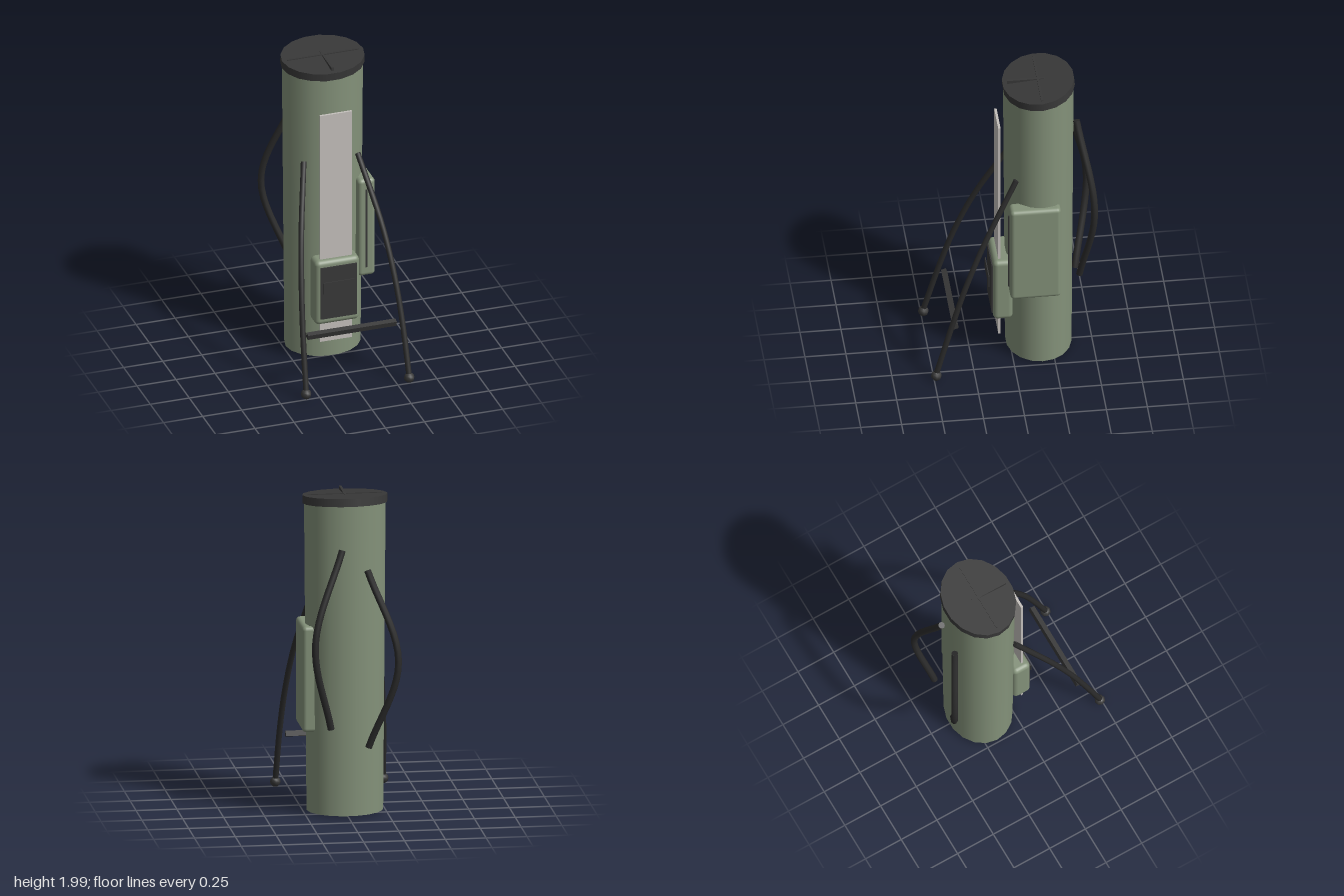
import * as THREE from 'three';
import { RoundedBoxGeometry } from 'three/addons/geometries/RoundedBoxGeometry.js';

const mat = (name, color, side = THREE.FrontSide) => {
  const m = new THREE.MeshStandardMaterial({ color, side });
  m.name = name;
  return m;
};

export function createModel() {
  const green = mat('sage green', 0x84927a);
  const black = mat('charcoal', 0x383838);
  const tubing = mat('soft black', 0x2b2b2b);
  const pale = mat('pale grey', 0xc4c0bc);

  const model = new THREE.Group();
  const CX = -0.003, CZ = -0.175, TILT = 0.09;

  const add = (name, geometry, material, x = 0, y = 0, z = 0) => {
    const mesh = new THREE.Mesh(geometry, material);
    mesh.name = name;
    mesh.position.set(x, y, z);
    model.add(mesh);
    return mesh;
  };
  // Box given by its minimum and maximum corners
  const box = (name, material, a, b, radius = 0) => {
    const s = a.map((v, i) => b[i] - v);
    const c = a.map((v, i) => (b[i] + v) / 2);
    const g = radius ? new RoundedBoxGeometry(...s, 3, radius) : new THREE.BoxGeometry(...s);
    return add(name, g, material, ...c);
  };
  // Round bar along a smooth path, closed by discs at both ends
  const rod = (name, points, radius) => {
    const curve = new THREE.CatmullRomCurve3(points.map(p => new THREE.Vector3(...p)));
    add(name, new THREE.TubeGeometry(curve, 20, radius, 8), tubing);
    for (const t of [0, 1]) {
      const p = curve.getPoint(t);
      const out = curve.getTangent(t).multiplyScalar(t ? 1 : -1);
      const end = add(name + 'End', new THREE.CircleGeometry(radius, 8), tubing, p.x, p.y, p.z);
      end.lookAt(p.clone().add(out));
    }
  };

  // Oval body, with its top edge slanted to meet the rim
  const bodyGeo = new THREE.CylinderGeometry(0.25, 0.235, 1.93, 18, 1, false, Math.PI / 2);
  bodyGeo.scale(1, 1, 0.855);
  const pos = bodyGeo.attributes.position;
  for (let i = 0; i < pos.count; i++) {
    if (pos.getY(i) > 0) pos.setY(i, 0.965 - TILT * pos.getZ(i));
  }
  add('body', bodyGeo, green, CX, 0.98, CZ);

  // Slanted rim with divider bars
  const rimGeo = new THREE.CylinderGeometry(0.26, 0.26, 0.05, 18, 1, false, Math.PI / 2);
  rimGeo.scale(1, 1, 0.846);
  add('topRim', rimGeo, black, CX, 1.953, CZ).rotation.x = TILT;
  box('crossDivider', black, [-0.23, 1.962, -0.178], [0.225, 1.983, -0.165]);
  box('frontDivider', black, [-0.01, 1.95, -0.215], [0.005, 1.983, 0.016]);

  // Front panel strip
  box('frontStrip', pale, [-0.105, 0.15, 0.067], [0.1, 1.7, 0.082]);

  // Front pocket with flap and label plate
  box('frontPocket', green, [-0.145, 0.28, -0.005], [0.14, 0.715, 0.116], 0.03);
  box('pocketFlap', black, [-0.115, 0.325, 0.115], [0.117, 0.675, 0.124]);
  box('pocketPlate', black, [-0.105, 0.505, 0.134], [0.097, 0.58, 0.14]);

  // Side pocket with zip
  box('sidePocket', green, [0.16, 0.52, -0.283], [0.27, 1.18, 0.026], 0.025);
  box('sideZip', black, [0.203, 0.585, 0.025], [0.216, 1.115, 0.034]);

  // Stand legs with ball feet
  for (const s of [1, -1]) {
    const side = s > 0 ? 'left' : 'right';
    rod(side + 'Leg', [
      [0.173, 1.35, -0.02], [0.258, 0.95, 0.185], [0.297, 0.655, 0.305],
      [0.317, 0.39, 0.39], [0.33, 0.04, 0.49],
    ].map(([x, y, z]) => [CX + s * x, y, z]), 0.018);
    add(side + 'Foot', new THREE.SphereGeometry(0.033, 8, 6), black, CX + s * 0.33, 0.037, 0.487);
  }
  const bar = add('legCrossbar', new THREE.BoxGeometry(0.568, 0.034, 0.031), black, -0.001, 0.363, 0.365);
  bar.rotation.x = 0.3;

  // Bowed carrying straps at the back
  rod('rightStrap', [[-0.11, 1.55, -0.4], [-0.285, 1.0, -0.502], [-0.115, 0.45, -0.412]], 0.021);
  rod('leftStrap', [[0.045, 1.68, -0.402], [0.222, 1.12, -0.492], [0.115, 0.57, -0.412]], 0.021);

  return model;
}
